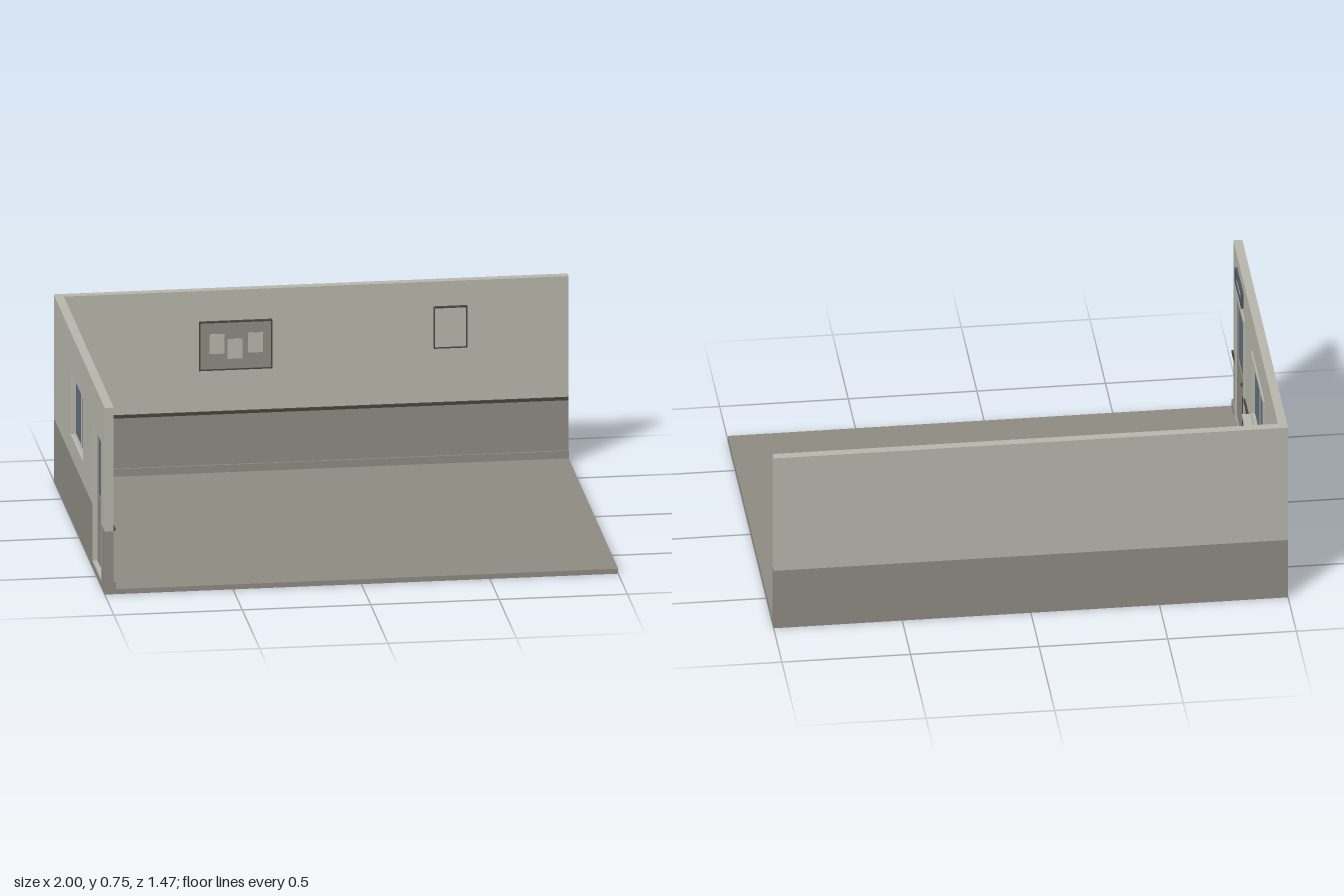
import * as THREE from 'three';

const mat = (name, color, side = THREE.FrontSide) => {
  const m = new THREE.MeshStandardMaterial({ color, side });
  m.name = name;
  return m;
};

export function createModel() {
  const wallPaint = mat('upper wall paint', 0xb8b7ac);
  const lowerPaint = mat('lower wall paint', 0x8d8b81);
  const glass = mat('blue glass', 0x5f6e7c);
  const dark = mat('dark trim', 0x46463f);
  const signBlue = mat('slate sign frame', 0x4a5362);

  const room = new THREE.Group();
  room.name = 'room';

  // Box given by its lower and upper corners
  const box = (name, m, x0, x1, y0, y1, z0, z1, parent = room) => {
    const mesh = new THREE.Mesh(new THREE.BoxGeometry(x1 - x0, y1 - y0, z1 - z0), m);
    mesh.position.set((x0 + x1) / 2, (y0 + y1) / 2, (z0 + z1) / 2);
    mesh.name = name;
    parent.add(mesh);
    return mesh;
  };
  const rect = (a, b, c, d) => [[a, c], [b, c], [b, d], [a, d]].map(p => new THREE.Vector2(...p));

  // Outline in (z, y) with holes, extruded from xFront towards -x
  const sidePanel = (name, m, points, holes, xFront, depth, parent = room) => {
    const shape = new THREE.Shape(points);
    holes.forEach(h => shape.holes.push(new THREE.Path(h)));
    const geo = new THREE.ExtrudeGeometry(shape, { depth, bevelEnabled: false });
    geo.rotateY(-Math.PI / 2);
    const mesh = new THREE.Mesh(geo, m);
    mesh.position.x = xFront;
    mesh.name = name;
    parent.add(mesh);
  };
  // Door-shaped surround, open at the bottom
  const arch = (z0, z1, top, w, bottom) => [
    [z0, bottom], [z0 + w, bottom], [z0 + w, top - w], [z1 - w, top - w],
    [z1 - w, bottom], [z1, bottom], [z1, top], [z0, top],
  ].map(p => new THREE.Vector2(...p));

  const IN = -0.965, BACK = -0.70, FRONT = 0.735;

  // Floor and back wall
  box('floor', lowerPaint, -1, 1, 0, 0.02, -0.735, FRONT);
  box('backWallLower', lowerPaint, -1, 1, 0.02, 0.255, -0.735, BACK);
  box('backWallUpper', wallPaint, -1, 1, 0.255, 0.755, -0.735, BACK);

  // Side wall with door and window openings
  const upper = [
    [BACK, 0.255], [0.375, 0.255], [0.375, 0.588], [0.635, 0.588],
    [0.635, 0.255], [FRONT, 0.255], [FRONT, 0.755], [BACK, 0.755],
  ].map(p => new THREE.Vector2(...p));
  sidePanel('sideWallUpper', wallPaint, upper, [rect(-0.255, 0.11, 0.34, 0.598)], IN, 0.035);
  box('sideWallLower', lowerPaint, -1, IN, 0.02, 0.255, BACK, 0.375);
  box('sideWallLower', lowerPaint, -1, IN, 0.02, 0.255, 0.635, FRONT);

  // Skirting and chair rail, interrupted by the door
  box('backSkirting', lowerPaint, IN, 1, 0.02, 0.05, BACK, BACK + 0.008);
  box('backChairRail', dark, IN, 1, 0.255, 0.267, BACK, BACK + 0.007);
  for (const [z0, z1] of [[BACK, 0.355], [0.655, FRONT]]) {
    box('sideSkirting', lowerPaint, IN, IN + 0.008, 0.02, 0.05, z0, z1);
    box('sideChairRail', dark, IN, IN + 0.007, 0.255, 0.267, z0, z1);
  }

  // Door: casing, jamb lining, leaf, glass and fittings
  const door = new THREE.Group();
  door.name = 'door';
  room.add(door);
  sidePanel('doorCasing', wallPaint, arch(0.355, 0.655, 0.612, 0.024, 0.02), [], IN + 0.006, 0.006, door);
  sidePanel('doorJamb', wallPaint, arch(0.375, 0.635, 0.588, 0.005, 0.02), [], IN, 0.0345, door);
  sidePanel('doorLeaf', lowerPaint, rect(0.38, 0.63, 0.028, 0.583), [rect(0.402, 0.61, 0.302, 0.567)], IN - 0.002, 0.014, door);
  box('doorGlass', glass, IN - 0.012, IN - 0.006, 0.302, 0.567, 0.402, 0.61, door);
  box('doorThreshold', wallPaint, -0.998, IN, 0.02, 0.026, 0.38, 0.63, door);
  box('doorHandle', dark, IN - 0.002, IN + 0.009, 0.286, 0.291, 0.417, 0.437, door);
  box('doorPullBar', dark, IN - 0.002, IN + 0.006, 0.06, 0.25, 0.402, 0.407, door);

  // Window: casing, sash with centre bar, glass and sill
  const win = new THREE.Group();
  win.name = 'window';
  room.add(win);
  sidePanel('windowCasing', wallPaint, rect(-0.27, 0.125, 0.322, 0.61), [rect(-0.25, 0.106, 0.344, 0.594)], IN + 0.006, 0.006, win);
  sidePanel('windowSash', wallPaint, rect(-0.255, 0.11, 0.34, 0.598),
    [rect(-0.25, -0.076, 0.344, 0.594), rect(-0.068, 0.106, 0.344, 0.594)], IN - 0.004, 0.014, win);
  box('windowGlass', glass, IN - 0.014, IN - 0.008, 0.344, 0.594, -0.25, 0.106, win);
  box('windowSill', wallPaint, IN, -0.926, 0.312, 0.322, -0.287, 0.14, win);

  // Sign above the door
  const sign = new THREE.Group();
  sign.name = 'doorSign';
  room.add(sign);
  sidePanel('signFrame', signBlue, rect(0.402, 0.61, 0.64, 0.705), [rect(0.414, 0.598, 0.652, 0.694)], IN + 0.01, 0.01, sign);
  box('signFace', wallPaint, IN, IN + 0.005, 0.652, 0.694, 0.414, 0.598, sign);

  // Framed boards on the back wall
  const framed = (name, face, x0, x1, y0, y1) => {
    const g = new THREE.Group();
    g.name = name;
    room.add(g);
    const t = 0.005, zf = BACK + 0.014;
    box('boardFace', face, x0 + t, x1 - t, y0 + t, y1 - t, BACK, zf - 0.003, g);
    box('frameBottom', dark, x0, x1, y0, y0 + t, BACK, zf, g);
    box('frameTop', dark, x0, x1, y1 - t, y1, BACK, zf, g);
    box('frameSide', dark, x0, x0 + t, y0 + t, y1 - t, BACK, zf, g);
    box('frameSide', dark, x1 - t, x1, y0 + t, y1 - t, BACK, zf, g);
    return g;
  };
  const board = framed('noticeBoard', lowerPaint, -0.44, -0.155, 0.435, 0.632);
  for (const [x, y] of [[-0.40, 0.502], [-0.33, 0.48], [-0.25, 0.502]])
    box('paper', wallPaint, x, x + 0.058, y, y + 0.08, BACK + 0.01, BACK + 0.013, board);
  framed('wallPicture', wallPaint, 0.474, 0.605, 0.487, 0.655);

  return room;
}
